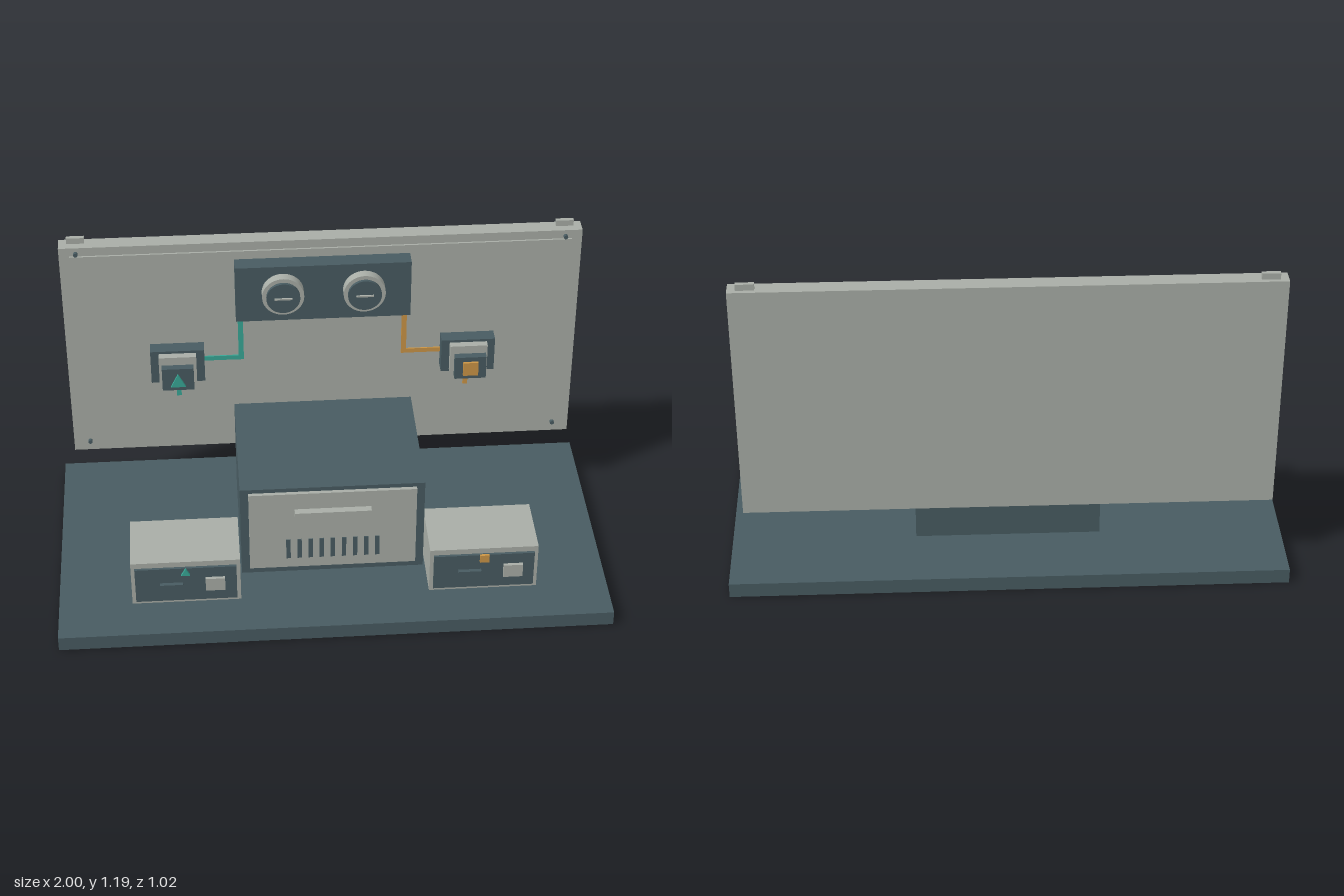
import * as THREE from 'three';

const mat = (name, color) => {
  const m = new THREE.MeshStandardMaterial({ color });
  m.name = name;
  return m;
};

export function createModel() {
  const dark = mat('slate', 0x485b61);
  const light = mat('warm grey', 0xa8ada6);
  const teal = mat('teal', 0x38a796);
  const amber = mat('amber', 0xcb9546);
  const root = new THREE.Group();

  const add = (parent, name, geometry, material) => {
    const mesh = new THREE.Mesh(geometry, material);
    mesh.name = name;
    parent.add(mesh);
    return mesh;
  };
  const group = (name) => {
    const g = new THREE.Group();
    g.name = name;
    root.add(g);
    return g;
  };
  // box given by its limits on each axis
  const box = (parent, name, m, x0, x1, y0, y1, z0, z1) => {
    const mesh = add(parent, name, new THREE.BoxGeometry(x1 - x0, y1 - y0, z1 - z0), m);
    mesh.position.set((x0 + x1) / 2, (y0 + y1) / 2, (z0 + z1) / 2);
    return mesh;
  };
  // cylinder lying along z
  const disc = (parent, name, m, r, x, y, z0, z1, sides = 40) => {
    const g = new THREE.CylinderGeometry(r, r, z1 - z0, sides).rotateX(Math.PI / 2);
    add(parent, name, g, m).position.set(x, y, (z0 + z1) / 2);
  };
  // triangular plate pointing up
  const triangle = (parent, name, m, w, h, x, y, z0, z1) => {
    const s = new THREE.Shape();
    s.moveTo(-w / 2, -h / 2);
    s.lineTo(w / 2, -h / 2);
    s.lineTo(0, h / 2);
    s.closePath();
    const g = new THREE.ExtrudeGeometry(s, { depth: z1 - z0, bevelEnabled: false });
    add(parent, name, g, m).position.set(x, y, z0);
  };

  box(root, 'base', dark, -1, 1, 0, 0.056, -0.51, 0.51);

  // upright board with inset panel, hangers and screws
  const board = group('backBoard');
  box(board, 'board', light, -0.943, 0.943, 0.27, 1.169, -0.376, -0.315);
  box(board, 'boardPanel', light, -0.906, 0.906, 0.325, 1.135, -0.315, -0.308);
  for (const s of [-1, 1]) {
    box(board, 'hanger', light, s * 0.882 - 0.032, s * 0.882 + 0.032, 0.267, 1.192, -0.361, -0.345);
    for (const y of [0.313, 1.146]) disc(board, 'screw', dark, 0.008, s * 0.882, y, -0.315, -0.302, 12);
  }

  // dial panel
  const dials = group('dialPanel');
  box(dials, 'panel', dark, -0.318, 0.318, 0.874, 1.102, -0.308, -0.246);
  for (const x of [-0.147, 0.147]) {
    disc(dials, 'dialRing', light, 0.076, x, 0.997, -0.246, -0.21);
    disc(dials, 'dialFace', dark, 0.061, x, 0.997, -0.21, -0.198);
    box(dials, 'dialNeedle', light, x - 0.032, x + 0.032, 0.994, 1.0, -0.198, -0.192);
  }

  // mirrored wall modules, wires and floor units
  for (const s of [-1, 1]) {
    const accent = s < 0 ? teal : amber;
    const x = s * 0.537;
    const span = (w, c = x) => [c - w / 2, c + w / 2];

    const module = group('wallModule');
    box(module, 'moduleBase', dark, ...span(0.198), 0.611, 0.748, -0.308, -0.255);
    box(module, 'moduleBody', light, ...span(0.138), 0.621, 0.738, -0.255, -0.228);
    box(module, 'moduleFace', dark, ...span(0.116), 0.634, 0.727, -0.197, -0.17);
    if (s < 0) triangle(module, 'moduleSign', accent, 0.054, 0.054, x, 0.68, -0.17, -0.161);
    else box(module, 'moduleSign', accent, ...span(0.056), 0.652, 0.708, -0.17, -0.161);

    const wire = group('wire');
    const run = s * 0.3015;
    box(wire, 'wireDrop', accent, ...span(0.019, run), 0.671, 0.88, -0.304, -0.298);
    box(wire, 'wireRun', accent, Math.min(x, run), Math.max(x, run), 0.671, 0.689, -0.3035, -0.2985);
    box(wire, 'wireTail', accent, ...span(0.018), 0.518, 0.68, -0.304, -0.298);

    const unit = group('sideUnit');
    box(unit, 'unitCase', light, ...span(0.392), 0.085, 0.27, 0.133, 0.374);
    box(unit, 'unitFront', dark, ...span(0.364), 0.101, 0.248, 0.374, 0.384);
    box(unit, 'unitSlot', dark, ...span(0.083, x - 0.052), 0.172, 0.184, 0.384, 0.398);
    box(unit, 'unitButton', light, ...span(0.07, x + 0.105), 0.15, 0.204, 0.384, 0.396);
    if (s < 0) triangle(unit, 'unitSign', accent, 0.032, 0.03, x, 0.236, 0.384, 0.393);
    else box(unit, 'unitSign', accent, ...span(0.034), 0.22, 0.252, 0.384, 0.393);
  }

  // central cabinet
  const cabinet = group('cabinet');
  box(cabinet, 'cabinetBody', dark, -0.333, 0.333, 0.087, 0.471, -0.293, 0.233);
  box(cabinet, 'cabinetDoor', light, -0.303, 0.303, 0.118, 0.455, 0.233, 0.247);
  box(cabinet, 'handle', light, -0.138, 0.138, 0.358, 0.386, 0.247, 0.273);
  for (let i = -4; i <= 4; i++) {
    box(cabinet, 'vent', dark, i * 0.0405 - 0.008, i * 0.0405 + 0.008, 0.161, 0.248, 0.247, 0.25);
  }
  for (const x of [-0.26, 0.26]) {
    for (const z of [-0.204, 0.157]) {
      box(cabinet, 'foot', dark, x - 0.045, x + 0.045, 0.056, 0.087, z - 0.038, z + 0.038);
    }
  }

  return root;
}
